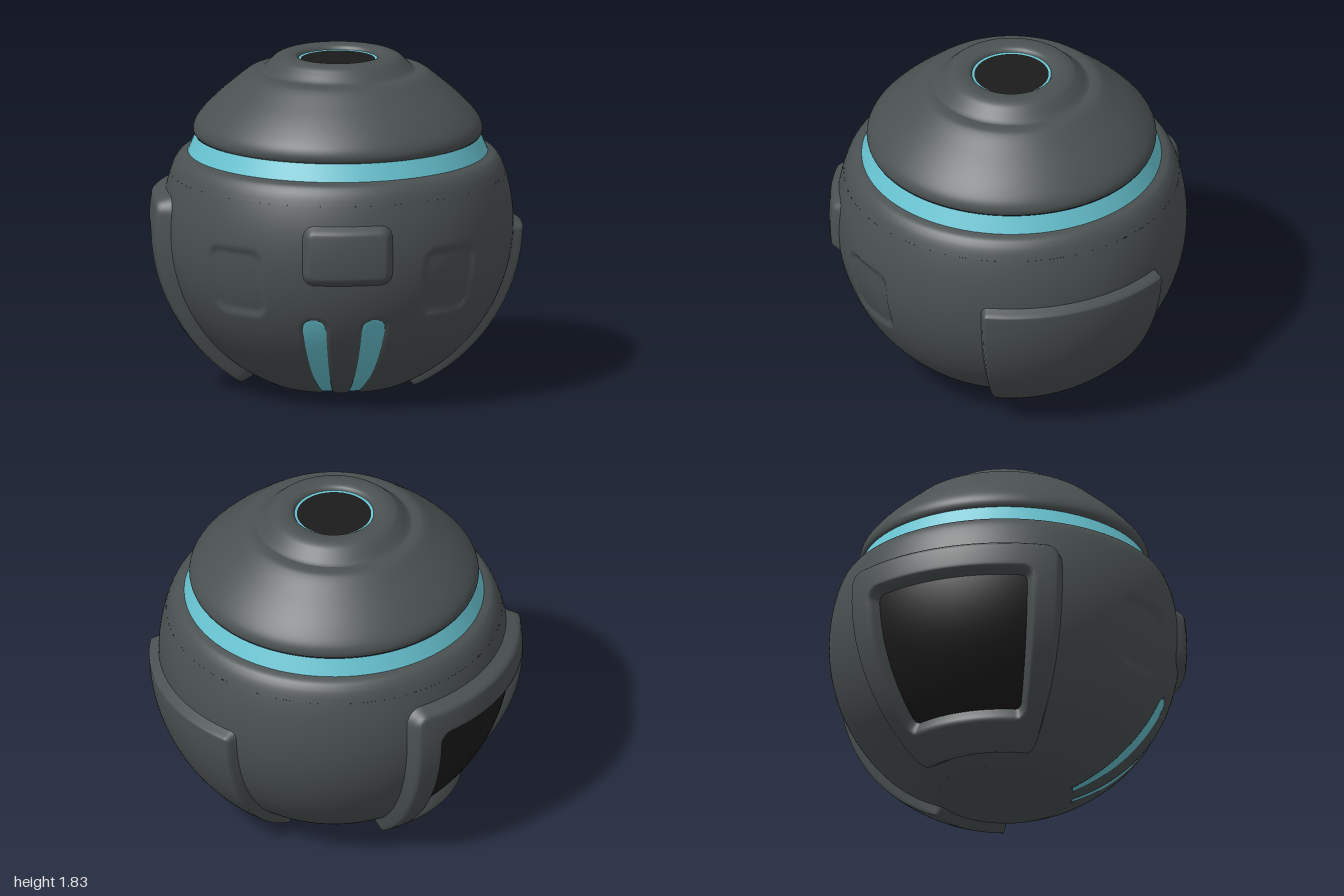
import * as THREE from 'three';

const R = 0.945, CY = 0.92, RAD = Math.PI / 180;

// Signed distance (degrees, negative inside) to a rounded rectangle in longitude / latitude
function rectDist(az, lat, s) {
  let da = az - s.az;
  da = ((da + 540) % 360) - 180;
  const r = s.round;
  const x = Math.abs(da) - s.half + r;
  const y = Math.abs(lat - (s.top + s.bottom) / 2) - (s.top - s.bottom) / 2 + r;
  return Math.hypot(Math.max(x, 0), Math.max(y, 0)) + Math.min(Math.max(x, y), 0) - r;
}
// 1 well inside the shape, 0 at its border
const mask = (az, lat, s) => THREE.MathUtils.smoothstep(-rectDist(az, lat, s), 0, s.soft);

// Piece of the sphere between two longitudes and latitudes, displaced by offset(az, lat)
function spherePatch(az0, az1, lat0, lat1, step, offset) {
  const nu = Math.ceil((az1 - az0) / step), nv = Math.ceil((lat1 - lat0) / step);
  const pos = [], index = [];
  for (let j = 0; j <= nv; j++) {
    for (let i = 0; i <= nu; i++) {
      const az = az0 + (az1 - az0) * i / nu, lat = lat0 + (lat1 - lat0) * j / nv;
      const r = R + offset(az, lat), c = Math.cos(lat * RAD);
      pos.push(r * c * Math.sin(az * RAD), CY + r * Math.sin(lat * RAD), r * c * Math.cos(az * RAD));
      if (i < nu && j < nv) {
        const a = j * (nu + 1) + i, b = a + nu + 1;
        index.push(a, a + 1, b + 1, a, b + 1, b);
      }
    }
  }
  const g = new THREE.BufferGeometry();
  g.setAttribute('position', new THREE.Float32BufferAttribute(pos, 3));
  g.setIndex(index);
  g.computeVertexNormals();
  return g;
}

const around = (s, step, offset) =>
  spherePatch(s.az - s.half, s.az + s.half, s.bottom, s.top, step, offset);

function lathe(points, smooth) {
  let p = points.map(([x, y]) => new THREE.Vector2(x, y));
  if (smooth) p = new THREE.SplineCurve(p).getPoints(smooth);
  return new THREE.LatheGeometry(p, 96);
}

export function createModel() {
  const grey = new THREE.MeshStandardMaterial({ name: 'darkGrey', color: 0x4b5152 });
  const teal = new THREE.MeshStandardMaterial({ name: 'teal', color: 0x68c4d2 });
  const black = new THREE.MeshStandardMaterial({ name: 'black', color: 0x1b1b1b });

  const model = new THREE.Group();
  model.name = 'sphericalDevice';
  const shell = new THREE.Group();
  shell.name = 'shell';
  shell.position.set(0.02, 0, -0.01);
  model.add(shell);
  const add = (name, geometry, material) => {
    const m = new THREE.Mesh(geometry, material);
    m.name = name;
    shell.add(m);
  };

  // Shallow recesses: two square pads and two light slots either side of the front axis
  const pads = [-22, 55.5].map(az =>
    ({ az, half: 11.5, top: 1.5, bottom: -23, round: 5, soft: 2.5, depth: 0.018 }));
  const slots = [6, 28].map(az =>
    ({ az, half: 5.2, top: -22, bottom: -75, round: 4.5, soft: 1.3, depth: 0.014 }));
  const recesses = [...pads, ...slots];

  // Main body, flat base and rounded shoulder
  add('body', spherePatch(-160, 200, -66.8, 17, 1, (az, lat) => {
    let d = 0;
    for (const s of recesses) d -= s.depth * mask(az, lat, s);
    return d;
  }), grey);
  const baseR = R * Math.cos(66.8 * RAD), baseY = CY - R * Math.sin(66.8 * RAD);
  add('base', lathe([[0, baseY], [baseR, baseY]]), grey);
  add('shoulder', lathe([[R * Math.cos(17 * RAD), CY + R * Math.sin(17 * RAD)],
    [0.89, 1.235], [0.873, 1.267], [0.847, 1.295], [0.805, 1.31]], 20), grey);
  slots.forEach((s, i) =>
    add(i ? 'leftLightSlot' : 'rightLightSlot',
      spherePatch(s.az - 4.9, s.az + 4.9, -66.7, -22.4, 0.9, (az, lat) =>
        rectDist(az, lat, s) < -0.3 ? -0.009 : -0.02), teal));

  // Raised front button
  const button = { az: 18, half: 16, top: 11.5, bottom: -10.5, round: 5, soft: 4 };
  add('frontButton', around(button, 0.6, (az, lat) => -0.008 + 0.046 * mask(az, lat, button)), grey);

  // Solid raised panel at the back left
  const panel = { az: 135, half: 33.5, top: 0.5, bottom: -67.6, round: 3, soft: 2.2 };
  add('solidPanel', around(panel, 0.7, (az, lat) => -0.012 + 0.064 * mask(az, lat, panel)), grey);

  // Raised frame at the right, with a dark window set into it
  const frame = { az: -95.5, half: 39, top: 12.5, bottom: -62, round: 7, soft: 4 };
  const opening = { az: -95.5, half: 28, top: 1.5, bottom: -47, round: 4, soft: 2.5 };
  add('windowFrame', around(frame, 0.75, (az, lat) =>
    -0.012 + 0.084 * mask(az, lat, frame) * (1 - mask(az, lat, opening))), grey);
  add('darkWindow', around(opening, 1, () => 0.006), black);

  // Glowing neck ring, dome and raised cap
  add('neckRing', lathe([[0.808, 1.308], [0.768, 1.402]]), teal);
  add('dome', lathe([[0.762, 1.4], [0.776, 1.415], [0.779, 1.445], [0.762, 1.487], [0.715, 1.545],
    [0.65, 1.61], [0.575, 1.675], [0.505, 1.732], [0.465, 1.752], [0.41, 1.757]], 50), grey);
  add('cap', lathe([[0.42, 1.755], [0.4, 1.768], [0.365, 1.803], [0.335, 1.829], [0.295, 1.843],
    [0.255, 1.842], [0.225, 1.832], [0.212, 1.812]], 40), grey);

  // Top lens with a thin glowing rim
  add('lensRim', lathe([[0.214, 1.815], [0.2, 1.813]]), teal);
  add('lens', lathe([[0.202, 1.813], [0, 1.813]]), black);
  return model;
}
